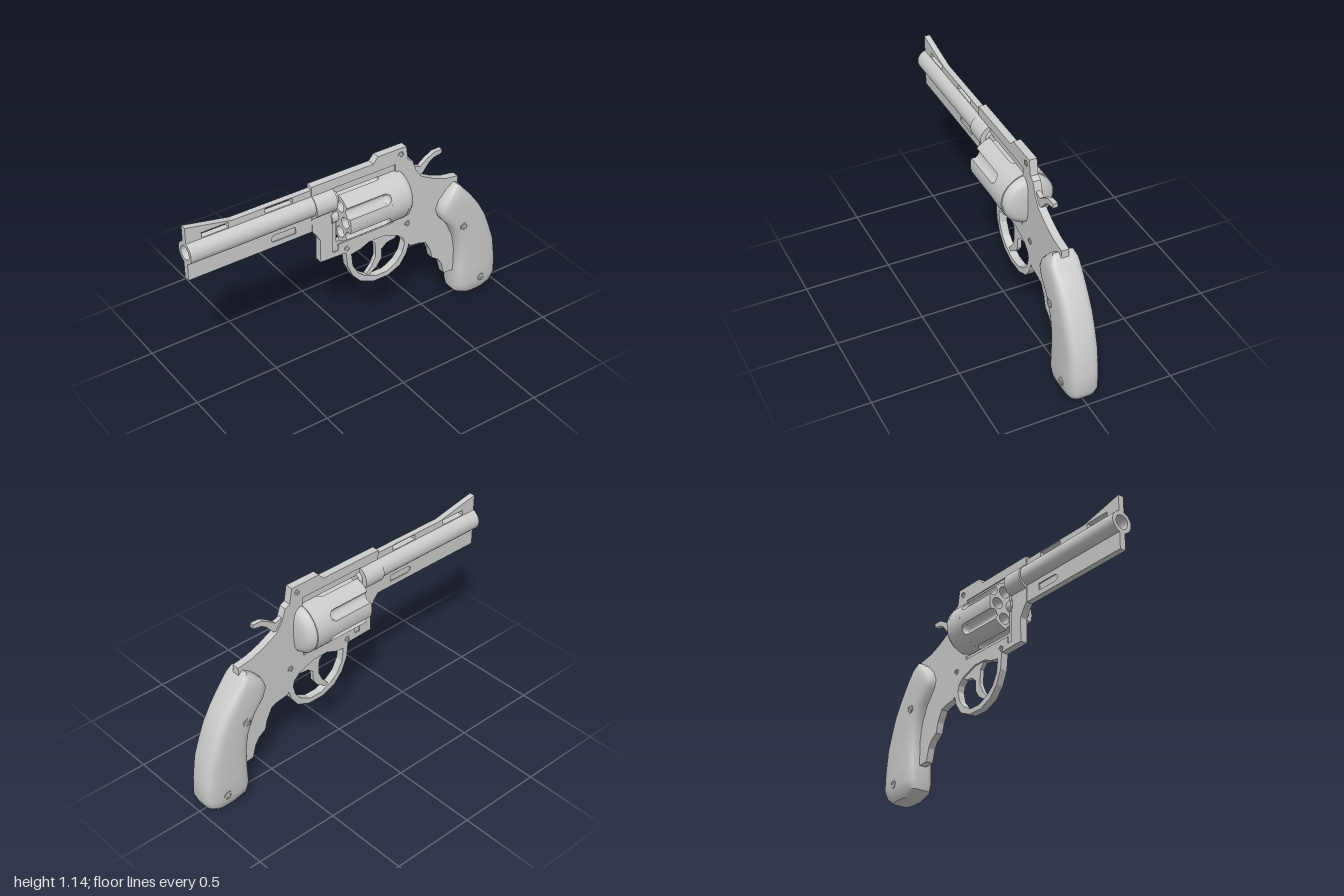
import * as THREE from 'three';
import { toCreasedNormals } from 'three/addons/utils/BufferGeometryUtils.js';

const grey = new THREE.MeshStandardMaterial({ color: 0xcccccc });
const V2 = ([x, y]) => new THREE.Vector2(x, y);
const circle = (x, y, r) => new THREE.Path().absarc(x, y, r, 0, Math.PI * 2);

function add(parent, name, geometry) {
  const mesh = new THREE.Mesh(geometry, grey);
  mesh.name = name;
  parent.add(mesh);
  return mesh;
}

// Flat plate centred on z = 0, from an outline with optional holes
function plate(points, half, holes = []) {
  const shape = new THREE.Shape(points.map(V2));
  holes.forEach((h) => shape.holes.push(new THREE.Path(h.map(V2))));
  return new THREE.ExtrudeGeometry(shape, { depth: half * 2, bevelEnabled: false }).translate(0, 0, -half);
}
const rect = (x0, x1, y0, y1) => [[x0, y0], [x1, y0], [x1, y1], [x0, y1]];

// Solid running along x, extruded from a shape drawn across the axis
function alongX(shape, x0, x1, y) {
  const g = new THREE.ExtrudeGeometry(shape, { depth: x1 - x0, bevelEnabled: false, curveSegments: 24 });
  return toCreasedNormals(g.rotateY(Math.PI / 2).translate(x0, y, 0), 0.6);
}
function disc(r, inner = 0) {
  const s = new THREE.Shape().absarc(0, 0, r, 0, Math.PI * 2);
  if (inner) s.holes.push(circle(0, 0, inner));
  return s;
}

// Skin over a row of equal-length rings, closed at both ends
function loft(rings, crease) {
  const n = rings[0].length, pos = [], index = [];
  rings.forEach((r) => r.forEach((p) => pos.push(...p)));
  for (let i = 0; i < rings.length - 1; i++) for (let j = 0; j < n; j++) {
    const a = i * n + j, b = i * n + (j + 1) % n;
    index.push(a, b, a + n, b, b + n, a + n);
  }
  [0, rings.length - 1].forEach((i) => {
    const c = pos.length / 3, ring = rings[i];
    pos.push(...[0, 1, 2].map((k) => ring.reduce((s, p) => s + p[k], 0) / n));
    for (let j = 0; j < n; j++) {
      const a = i * n + j, b = i * n + (j + 1) % n;
      index.push(...(i === 0 ? [c, b, a] : [c, a, b]));
    }
  });
  const g = new THREE.BufferGeometry();
  g.setAttribute('position', new THREE.Float32BufferAttribute(pos, 3));
  g.setIndex(index);
  return toCreasedNormals(g, crease);
}

// Cross-section of the drum with six flutes; w is the flute half width
const R = 0.147, W = 0.032;
function drumSection(w) {
  const pts = [];
  for (let k = 0; k < 6; k++) {
    const mid = Math.PI / 6 + k * Math.PI / 3, h = w / R;
    for (let i = 0; i <= 10; i++) {
      const u = i / 5 - 1;
      const r = R - 0.03 * (w / W) * Math.sqrt(Math.max(0, 1 - u ** 4));
      pts.push([r * Math.cos(mid + u * h), r * Math.sin(mid + u * h)]);
    }
    for (let i = 1; i < 6; i++) {
      const a = mid + h + (Math.PI / 3 - 2 * h) * i / 6;
      pts.push([R * Math.cos(a), R * Math.sin(a)]);
    }
  }
  return pts;
}

export function createModel() {
  const model = new THREE.Group();
  model.name = 'revolver';

  // Frame with trigger guard, and a thinner core inside the drum recess
  const guardHole = [[-0.01, 0.585], [0, 0.505], [0.035, 0.44], [0.085, 0.4], [0.155, 0.37], [0.23, 0.37],
    [0.295, 0.405], [0.335, 0.455], [0.35, 0.515], [0.34, 0.55], [0.3, 0.585], [0.2, 0.62], [0.105, 0.62], [0.05, 0.595]];
  const recess = [[-0.13, 1.055], [-0.13, 0.645], [-0.095, 0.645], [-0.095, 0.685], [0.275, 0.685], [0.275, 1.055]];
  add(model, 'frame', plate([
    [-0.26, 1.11], [-0.26, 0.83], [-0.235, 0.8], [-0.21, 0.755], [-0.21, 0.615], [-0.045, 0.61],
    [-0.035, 0.515], [0, 0.435], [0.055, 0.375], [0.14, 0.34], [0.24, 0.34], [0.32, 0.375], [0.365, 0.44], [0.38, 0.495],
    [0.39, 0.48], [0.46, 0.47], [0.5, 0.455], [0.535, 0.39], [0.55, 0.33], [0.595, 0.3], [0.62, 0.26], [0.64, 0.185],
    [0.71, 0.18], [0.85, 0.2], [0.85, 0.45], [0.8, 0.6], [0.75, 0.7], [0.71, 0.77], [0.71, 0.825], [0.62, 0.84],
    [0.54, 0.87], [0.455, 0.915], [0.415, 0.97], [0.39, 1.04], [0.36, 1.055], [0.345, 1.145], [0.16, 1.145], [0.13, 1.11],
  ], 0.022, [guardHole, recess]));
  add(model, 'frameCore', plate(rect(-0.15, 0.29, 0.63, 1.07), 0.015, [rect(-0.105, 0.28, 0.705, 1.015)]));

  // Barrel, collar and the short throat behind it
  add(model, 'barrel', alongX(disc(0.063, 0.04), -1, -0.25, 0.99));
  add(model, 'barrelCollar', alongX(disc(0.072), -0.26, -0.13, 0.985));
  add(model, 'barrelThroat', alongX(disc(0.042), -0.13, -0.105, 0.985));

  // Sight rib above the barrel, lug plate below with a shallow slot
  const windows = [rect(-0.91, -0.755, 1.055, 1.085), rect(-0.54, -0.375, 1.055, 1.085)];
  add(model, 'sightRib', plate([[-1, 1.04], [-0.26, 1.04], [-0.26, 1.09], [-0.73, 1.09], [-0.975, 1.14], [-1, 1.145]], 0.017, windows));
  const slot = [[-0.495, 0.86], [-0.36, 0.86], [-0.36, 0.9], [-0.495, 0.9], [-0.51, 0.89], [-0.51, 0.87]];
  add(model, 'barrelLug', plate(rect(-1, -0.255, 0.83, 0.94), 0.018, [slot]));
  add(model, 'lugSlotFloor', plate(rect(-0.52, -0.35, 0.85, 0.91), 0.011));

  // Drum: fluted front with chambers, rounded flute ends, plain rear
  const drum = new THREE.Group();
  drum.name = 'drum';
  model.add(drum);
  const front = new THREE.Shape(drumSection(W).map(V2));
  for (let k = 0; k < 6; k++) {
    const a = k * Math.PI / 3;
    front.holes.push(circle(0.093 * Math.cos(a), 0.093 * Math.sin(a), 0.033));
  }
  add(drum, 'drumFront', alongX(front, -0.1, 0.14, 0.865));
  const ends = [];
  for (let i = 0; i <= 6; i++) {
    const t = i / 6 * Math.PI / 2;
    ends.push(drumSection(Math.max(0.001, W * Math.cos(t))).map(([x, y]) => [x, y, W * Math.sin(t)]));
  }
  add(drum, 'fluteEnds', loft(ends, 0.5).rotateY(Math.PI / 2).translate(0.14, 0.865, 0));
  add(drum, 'drumRear', alongX(disc(R), 0.172, 0.278, 0.865));
  add(drum, 'drumPin', alongX(disc(0.035), -0.14, -0.09, 0.865));

  // Domed shield behind the drum
  const dome = new THREE.LatheGeometry([[0.142, 0], [0.145, 0.018], [0.128, 0.04], [0.105, 0.053], [0.06, 0.06], [0, 0.062]].map(V2), 32);
  add(model, 'recoilShield', dome.rotateZ(-Math.PI / 2).translate(0.278, 0.865, 0));

  // Hammer and trigger
  add(model, 'hammer', plate([[0.36, 1.04], [0.36, 0.9], [0.43, 0.915], [0.47, 0.93], [0.51, 0.98], [0.54, 1], [0.595, 1.01],
    [0.595, 1.035], [0.54, 1.033], [0.49, 1.005], [0.45, 0.975], [0.405, 0.99], [0.39, 1.03]], 0.013));
  add(model, 'trigger', plate([[0.11, 0.63], [0.155, 0.585], [0.16, 0.5], [0.135, 0.445], [0.095, 0.4], [0.11, 0.385], [0.17, 0.425],
    [0.2, 0.47], [0.2, 0.53], [0.235, 0.56], [0.285, 0.565], [0.34, 0.61], [0.3, 0.64]], 0.012));

  // Grip: front x, front y, back x, back y, half width
  const sections = [
    [0.68, 0.8, 0.7, 0.79, 0.06], [0.63, 0.765, 0.735, 0.75, 0.08], [0.58, 0.71, 0.78, 0.7, 0.086],
    [0.56, 0.66, 0.815, 0.655, 0.088], [0.575, 0.61, 0.855, 0.6, 0.088], [0.64, 0.53, 0.9, 0.52, 0.088],
    [0.685, 0.435, 0.935, 0.43, 0.088], [0.705, 0.33, 0.97, 0.33, 0.088], [0.705, 0.19, 0.99, 0.195, 0.088],
    [0.7, 0.09, 0.995, 0.09, 0.088], [0.71, 0.04, 0.975, 0.04, 0.08], [0.77, 0.005, 0.93, 0.005, 0.06],
  ];
  const round = (v) => Math.sign(v) * Math.sqrt(Math.abs(v));
  add(model, 'grip', loft(sections.map(([fx, fy, bx, by, d]) => Array.from({ length: 32 }, (_, j) => {
    const a = j / 32 * Math.PI * 2, u = round(Math.cos(a)) / 2;
    return [(fx + bx) / 2 + u * (bx - fx), (fy + by) / 2 + u * (by - fy), d * round(Math.sin(a))];
  })), 0.8));

  // Screws on both sides: raised rim with a slotted head
  [[0.31, 1.105, 0.018, 0.022], [-0.04, 0.635, 0.018, 0.022], [0.365, 0.64, 0.018, 0.022],
    [0.72, 0.515, 0.025, 0.087], [0.87, 0.1, 0.025, 0.087]].forEach(([x, y, r, z]) => {
    for (const side of [1, -1]) {
      const screw = new THREE.Group();
      screw.name = 'screw';
      screw.position.set(x, y, side * z);
      if (side < 0) screw.rotation.y = Math.PI;
      const rim = new THREE.ExtrudeGeometry(disc(r, r * 0.78), { depth: 0.008, bevelEnabled: false, curveSegments: 8 });
      add(screw, 'screwRim', rim.translate(0, 0, -0.005));
      for (const s of [1, -1]) {
        const half = new THREE.Shape().absarc(0, 0, r * 0.62, 0.25, Math.PI - 0.25);
        const head = new THREE.ExtrudeGeometry(half, { depth: 0.007, bevelEnabled: false, curveSegments: 8 });
        add(screw, 'screwHead', head.translate(0, 0, -0.005)).rotation.z = 0.6 + (s < 0 ? Math.PI : 0);
      }
      model.add(screw);
    }
  });
  return model;
}
